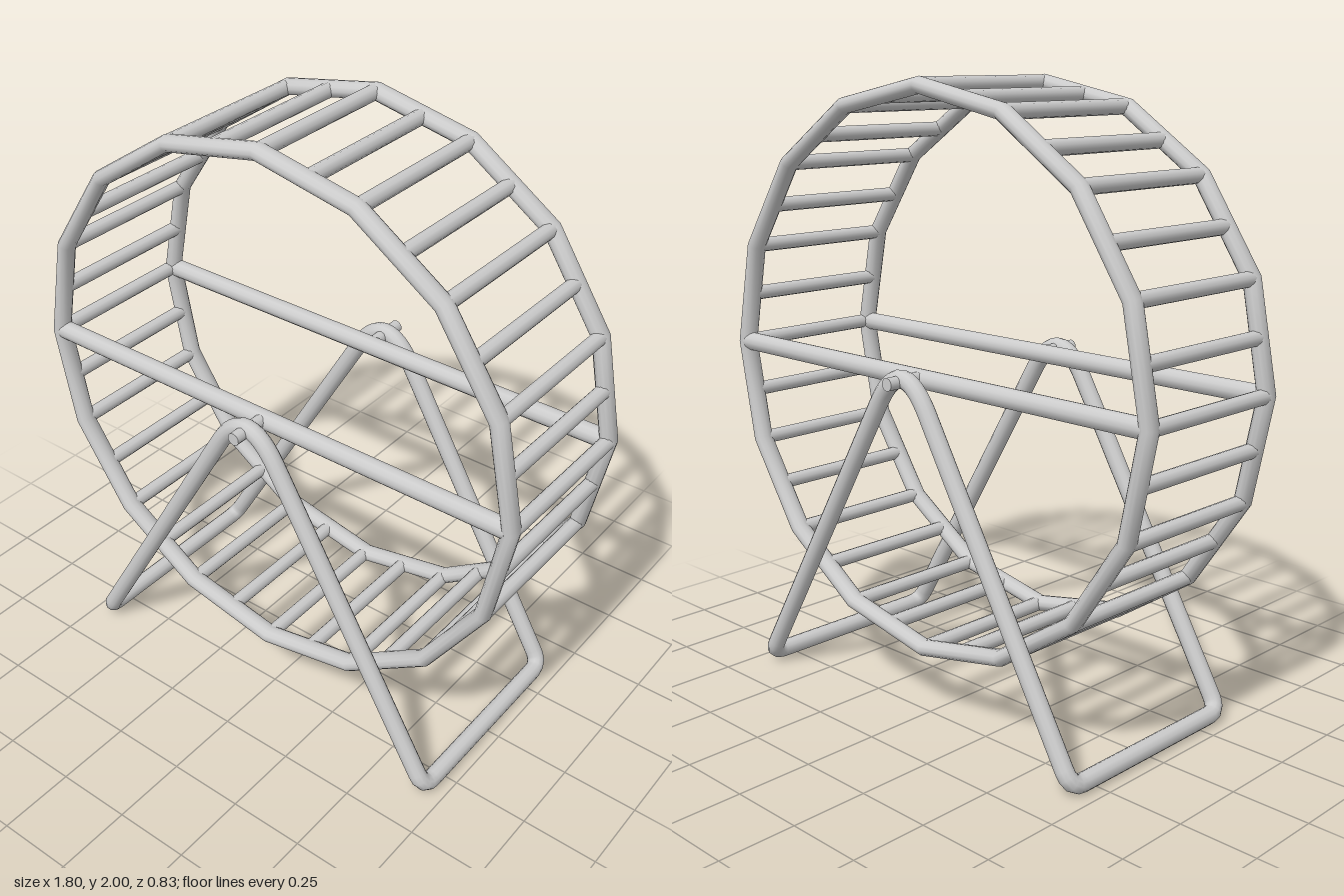
import * as THREE from 'three';

const HUB_Y = 1.1, RIM_R = 0.873, RIM_Z = 0.271, SIDES = 16;

export function createModel() {
  const model = new THREE.Group();
  model.name = 'exerciseWheel';
  const mat = new THREE.MeshStandardMaterial({ color: 0xcccccc });

  const add = (name, geo, parent) => {
    const mesh = new THREE.Mesh(geo, mat);
    mesh.name = name;
    parent.add(mesh);
    return mesh;
  };

  // Wheel: two 16-sided rims, a crossbar on each, and rungs between them
  const wheel = new THREE.Group();
  wheel.name = 'wheel';
  wheel.position.y = HUB_Y;
  model.add(wheel);

  for (const s of [1, -1]) {
    const end = s > 0 ? 'front' : 'back';

    const rim = add(end + 'Rim', new THREE.TorusGeometry(RIM_R, 0.026, 12, SIDES), wheel);
    rim.scale.z = 1.25;
    rim.position.z = s * RIM_Z;

    const bar = add(end + 'Crossbar', new THREE.CylinderGeometry(0.031, 0.031, 1.73, 12), wheel);
    bar.rotation.z = Math.PI / 2;
    bar.position.z = s * RIM_Z;

    // Axle stub from the crossbar out through the stand
    const axle = add(end + 'Axle', new THREE.CylinderGeometry(0.021, 0.021, 0.145, 10), wheel);
    axle.rotation.x = Math.PI / 2;
    axle.position.set(0, 0.005, s * 0.3425);
  }

  // Rungs sit at every rim corner and at the middle of every rim side
  const rungGeo = new THREE.CylinderGeometry(0.024, 0.024, 2 * RIM_Z, 10);
  rungGeo.rotateX(Math.PI / 2);
  for (let i = 0; i < SIDES * 2; i++) {
    const a = (i * Math.PI) / SIDES;
    const r = i % 2 ? RIM_R * Math.cos(Math.PI / SIDES) : RIM_R;
    add('rung', rungGeo, wheel).position.set(r * Math.cos(a), r * Math.sin(a), 0);
  }

  // Stand: one closed bent rod, an inverted V at each end joined along the floor
  const V = (x, y, z) => new THREE.Vector3(x, y, z);
  const z = 0.352, rod = 0.029;
  const corners = [
    { p: V(0.69, rod, z), bend: 0.05 },
    { p: V(0, 1.205, z), bend: 0.215 },
    { p: V(-0.69, rod, z), bend: 0.05 },
    { p: V(-0.69, rod, -z), bend: 0.05 },
    { p: V(0, 1.205, -z), bend: 0.215 },
    { p: V(0.69, rod, -z), bend: 0.05 },
  ];
  const toward = (a, b, d) => a.clone().add(b.clone().sub(a).setLength(d));
  const path = new THREE.CurvePath();
  corners.forEach(({ p, bend }, i) => {
    const prev = corners[(i + 5) % 6].p, next = corners[(i + 1) % 6];
    const out = toward(p, next.p, bend);
    path.add(new THREE.QuadraticBezierCurve3(toward(p, prev, bend), p, out));
    path.add(new THREE.LineCurve3(out, toward(next.p, p, next.bend)));
  });
  add('stand', new THREE.TubeGeometry(path, 320, rod, 12, true), model);

  return model;
}
